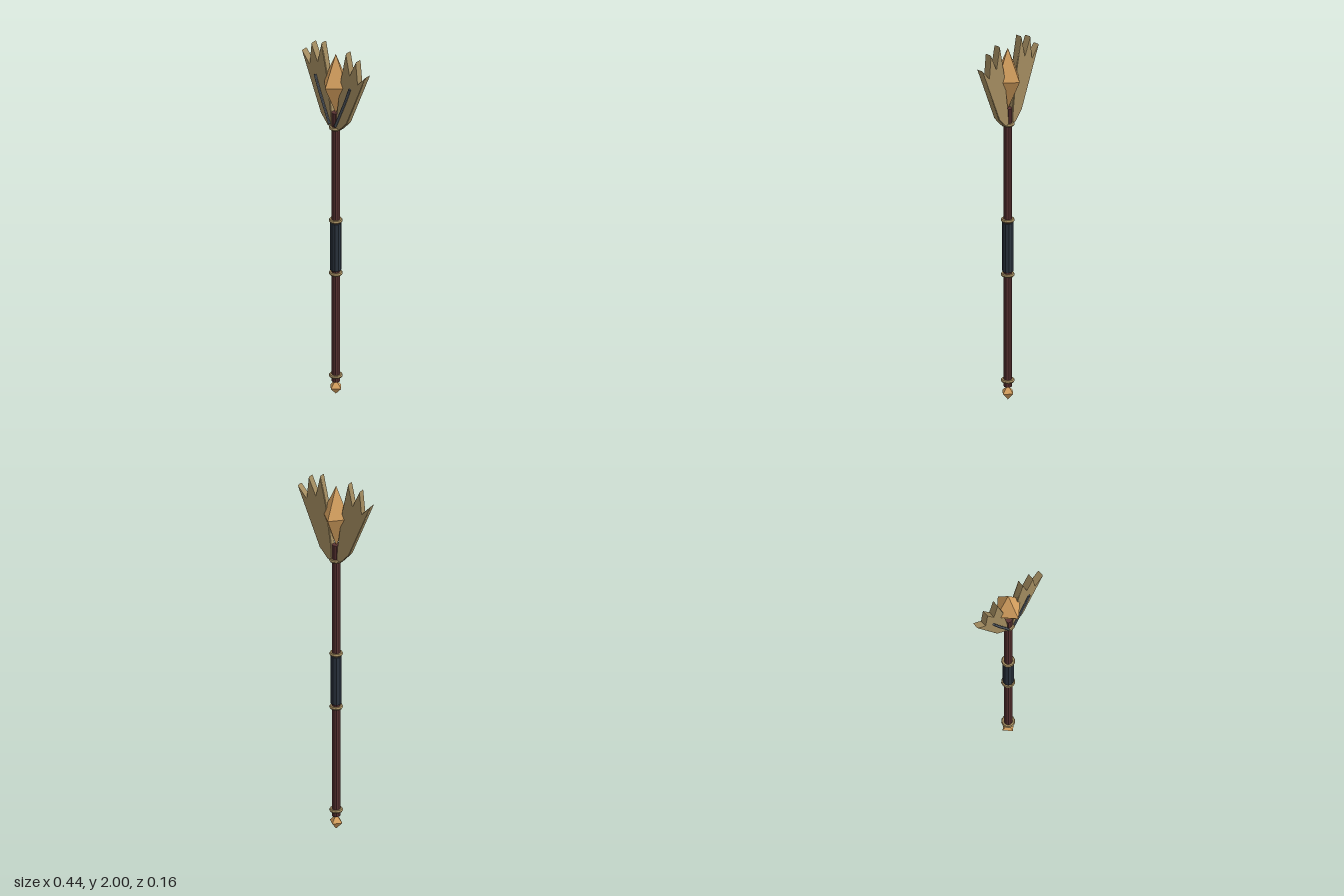
import * as THREE from 'three';

const paint = (color) => new THREE.MeshStandardMaterial({ color, flatShading: true });

export function createModel() {
  const group = new THREE.Group();
  const wood = paint(0x5c3434), leather = paint(0x2c3540), brass = paint(0xa38c60);
  const amber = paint(0xdca562), steel = paint(0x646c76);

  const add = (name, geometry, material, y = 0) => {
    const mesh = new THREE.Mesh(geometry, material);
    mesh.name = name;
    mesh.position.y = y;
    group.add(mesh);
    return mesh;
  };

  // Shaft and wrapped grip
  add('shaft', new THREE.CylinderGeometry(0.022, 0.022, 1.55, 10), wood, 0.85);
  add('grip', new THREE.CylinderGeometry(0.029, 0.029, 0.27, 10), leather, 0.853);

  // Metal collars along the shaft
  for (const y of [0.108, 0.698, 1.002, 1.538]) {
    const ring = new THREE.TorusGeometry(0.027, 0.009, 6, 12).rotateX(Math.PI / 2);
    add('collar', ring, brass, y);
  }

  // Faceted pommel and head crystal
  add('pommel', new THREE.OctahedronGeometry(1, 0).scale(0.037, 0.04, 0.037), amber, 0.04);
  add('crystal', new THREE.OctahedronGeometry(1, 0).scale(0.08, 0.17, 0.08), amber, 1.79);

  // Mirrored three-pointed wings, each with a curved rod on the front
  for (const side of [-1, 1]) {
    const outline = [
      [0.015, 1.54], [0.04, 1.542], [0.087, 1.595], [0.217, 1.908], [0.165, 1.85],
      [0.152, 1.973], [0.11, 1.88], [0.084, 1.997], [0.05, 1.84], [0.02, 1.62],
    ].map(([x, y]) => new THREE.Vector2(side * x, y));
    const wing = new THREE.ExtrudeGeometry(new THREE.Shape(outline), {
      depth: 0.028, bevelThickness: 0.004, bevelSize: 0.003, bevelOffset: -0.001, bevelSegments: 1,
    });
    wing.translate(0, 0, -0.0155);
    add(side > 0 ? 'leftWing' : 'rightWing', wing, brass);

    const path = new THREE.CatmullRomCurve3([
      [0.02, 1.56], [0.055, 1.645], [0.09, 1.73], [0.119, 1.81],
    ].map(([x, y]) => new THREE.Vector3(side * x, y, 0.026)));
    const rod = add(side > 0 ? 'leftRod' : 'rightRod', new THREE.TubeGeometry(path, 10, 0.007, 6), steel);
    rod.material.side = THREE.DoubleSide;
  }

  return group;
}
